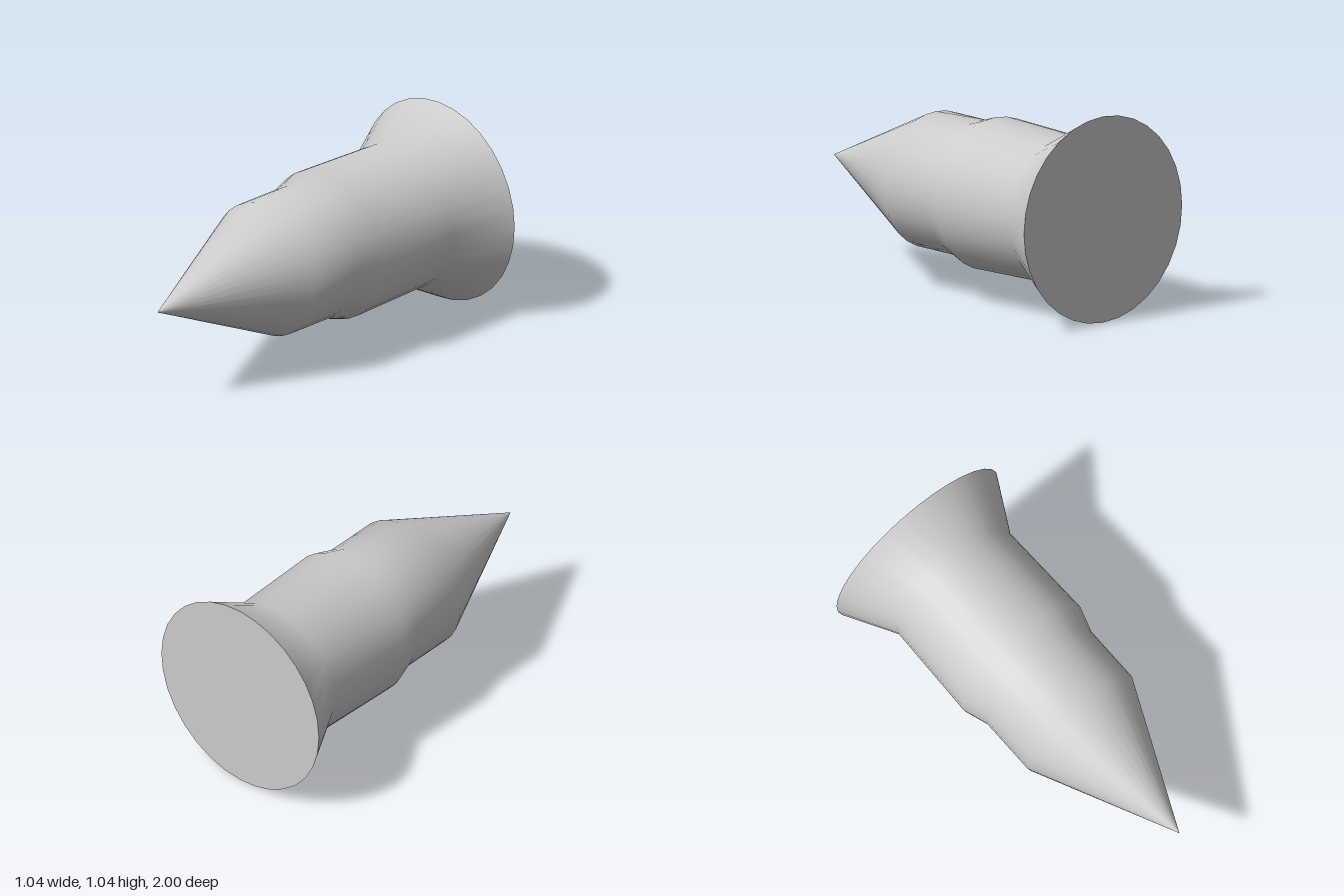
import * as THREE from 'three';

const SIDES = 32;
const RADIUS = 0.52;

export function createModel() {
  const group = new THREE.Group();
  group.name = 'pointedProjectile';
  const material = new THREE.MeshStandardMaterial({ color: 0xcccccc });

  // Smooth turned body: flared tail, collar, shaft and pointed nose, as [radius, z]
  const profile = [
    [RADIUS, -1], [0.37, -0.72], [0.384, -0.2],
    [0.343, -0.07], [0.343, 0.24], [0, 1],
  ].map(([r, z]) => new THREE.Vector2(r, z));
  const body = new THREE.Mesh(new THREE.LatheGeometry(profile, SIDES).rotateX(Math.PI / 2), material);
  body.name = 'body';

  // Flat disc closing the flared tail
  const tailCap = new THREE.Mesh(new THREE.CircleGeometry(RADIUS, SIDES).rotateY(Math.PI), material);
  tailCap.name = 'tailCap';
  tailCap.position.z = -1;

  group.add(body, tailCap);
  group.position.y = RADIUS;
  return group;
}
